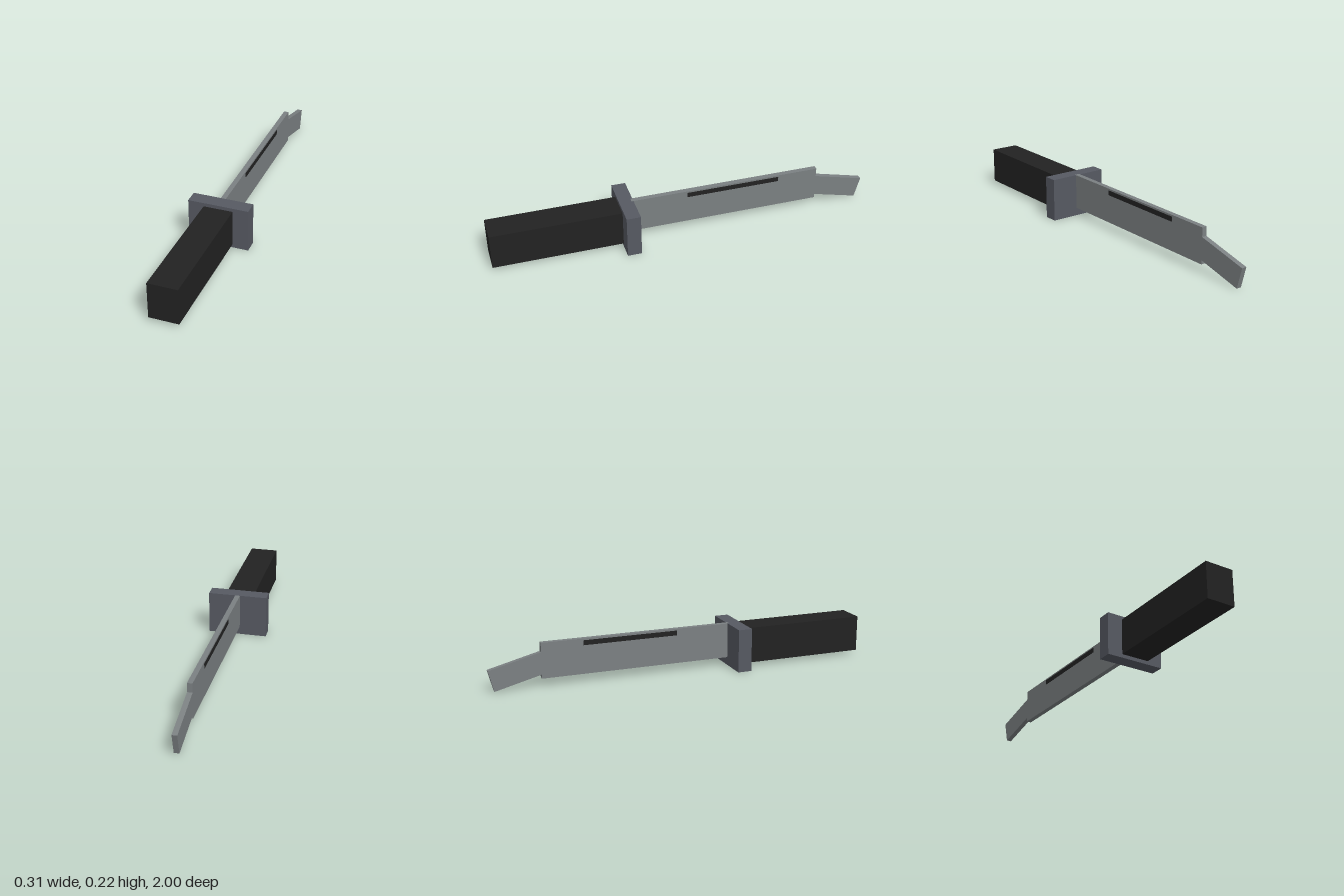
import * as THREE from 'three';

function material(name, color) {
  const m = new THREE.MeshStandardMaterial({ color });
  m.name = name;
  return m;
}

export function createModel() {
  const black = material('black grip', 0x222222);
  const slate = material('slate guard', 0x565962);
  const steel = material('grey steel', 0x7b8082);
  const model = new THREE.Group();
  model.name = 'knife';

  // Box given by its extents on each axis
  function box(name, mat, [x0, x1], [y0, y1], [z0, z1]) {
    const mesh = new THREE.Mesh(new THREE.BoxGeometry(x1 - x0, y1 - y0, z1 - z0), mat);
    mesh.position.set((x0 + x1) / 2, (y0 + y1) / 2, (z0 + z1) / 2);
    mesh.name = name;
    model.add(mesh);
  }

  box('handle', black, [-0.075, 0.075], [0.019, 0.207], [0.33, 1]);
  box('guard', slate, [-0.156, 0.156], [0, 0.225], [0.26, 0.333]);

  // Blade with a narrower, drooping tip: side outline as (-z, y)
  const half = 0.013;
  const outline = [
    [-0.27, 0.042], [0.735, 0.042], [0.735, 0.063], [0.972, 0.003],
    [1, 0.111], [0.735, 0.178], [0.735, 0.225], [-0.27, 0.225],
  ].map(([a, y]) => new THREE.Vector2(a, y));
  const bladeShape = new THREE.ExtrudeGeometry(new THREE.Shape(outline), {
    depth: half * 2, bevelEnabled: false,
  });
  bladeShape.translate(0, 0, -half).rotateY(Math.PI / 2);
  const blade = new THREE.Mesh(bladeShape, steel);
  blade.name = 'blade';
  model.add(blade);

  // Dark groove strips on both faces of the blade
  for (const [name, s] of [['leftGroove', 1], ['rightGroove', -1]]) {
    const xs = [s * (half - 0.002), s * (half + 0.002)].sort((a, b) => a - b);
    box(name, black, xs, [0.191, 0.216], [-0.52, -0.025]);
  }
  return model;
}
